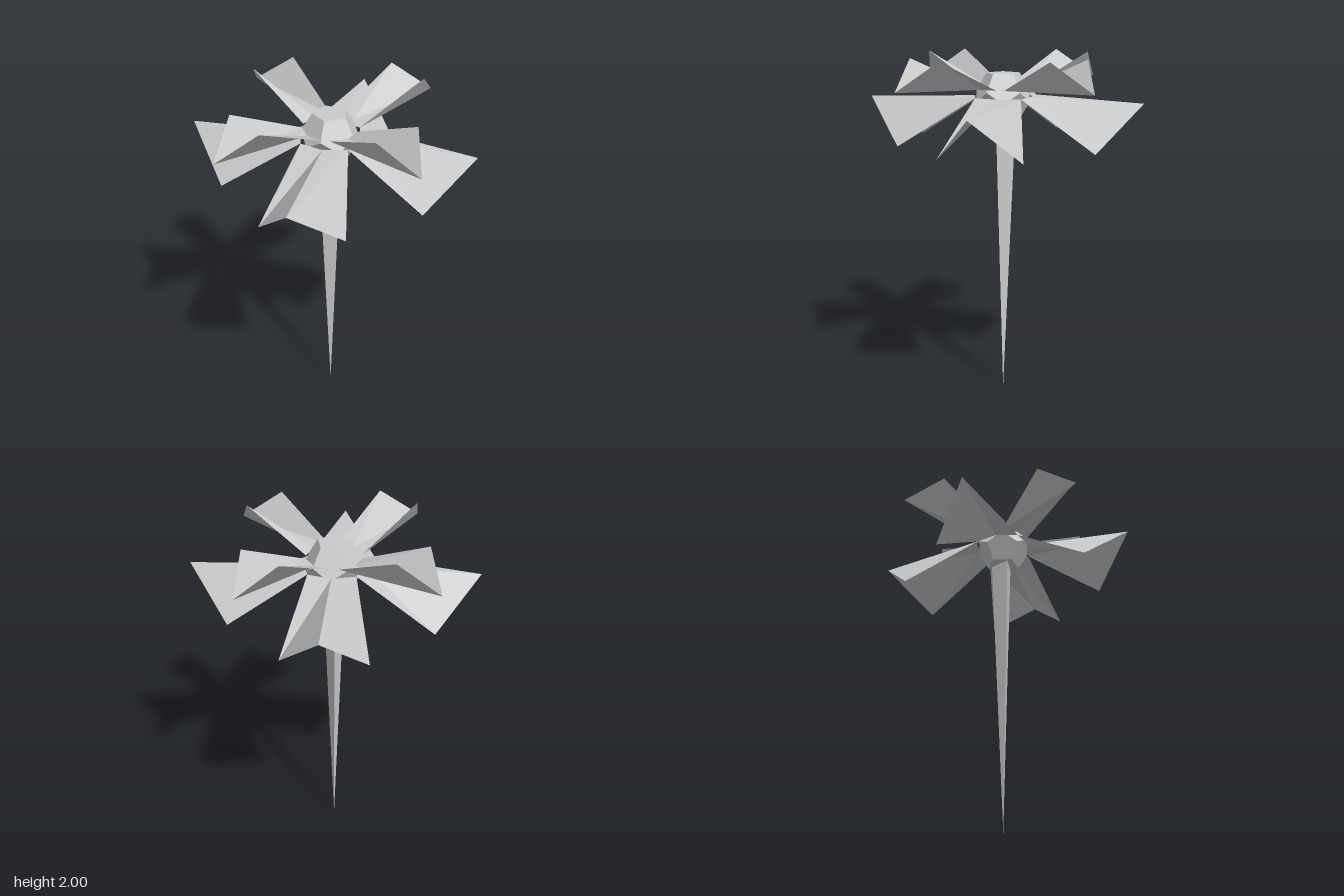
import * as THREE from 'three';

const material = new THREE.MeshStandardMaterial({ color: 0xcccccc, flatShading: true, side: THREE.DoubleSide });
const rad = THREE.MathUtils.degToRad;

// Point at a radius, a height and an angle turned from +z towards +x
const polar = ([radius, y, degrees]) => [radius * Math.sin(rad(degrees)), y, radius * Math.cos(rad(degrees))];

// Folded petal: three points on the hub (left, middle, right) joined to
// an outer left corner, a tip on the fold and an outer right corner.
function petalGeometry({ hub, outer, mirrored }) {
  const [p0, p1, p2] = hub.map(polar);
  const [left, tip, right] = outer.map(polar);
  const triangles = mirrored
    ? [left, tip, p0, tip, p1, p0, tip, right, p1, right, p2, p1]
    : [left, p1, p0, left, tip, p1, tip, p2, p1, tip, right, p2];
  const geometry = new THREE.BufferGeometry();
  geometry.setAttribute('position', new THREE.Float32BufferAttribute(triangles.flat(), 3));
  geometry.computeVertexNormals();
  return geometry;
}

// Four copies of a petal around the stem
function petalRing(name, spec, axis) {
  const ring = new THREE.Group();
  ring.name = name + 's';
  const geometry = petalGeometry(spec);
  for (let i = 0; i < 4; i++) {
    const petal = new THREE.Mesh(geometry, material);
    petal.name = name;
    petal.rotation.y = rad(axis + 90 * i);
    ring.add(petal);
  }
  return ring;
}

export function createModel() {
  const group = new THREE.Group();
  group.name = 'flower';

  // Three-sided stem tapering to a point on the ground
  const stemGeometry = new THREE.CylinderGeometry(0.073, 0, 1.72, 3);
  stemGeometry.rotateY(Math.PI / 2);
  const stem = new THREE.Mesh(stemGeometry, material);
  stem.name = 'stem';
  stem.position.y = 0.86;
  group.add(stem);

  // Faceted flower centre with a flat face upwards
  const centreGeometry = new THREE.DodecahedronGeometry(0.157);
  centreGeometry.rotateX(-Math.atan(0.618));
  centreGeometry.rotateY(Math.PI / 2);
  const centre = new THREE.Mesh(centreGeometry, material);
  centre.name = 'centre';
  centre.position.y = 1.777;
  group.add(centre);

  // Wide drooping petals, folded like a roof
  group.add(petalRing('lowerPetal', {
    hub: [[0.18, 1.775, -45], [0.163, 1.775, 0], [0.18, 1.775, 45]],
    outer: [[0.592, 1.51, -22.5], [0.774, 1.755, 0], [0.592, 1.51, 22.5]],
    mirrored: false,
  }, 22.5));

  // Narrow raised petals, folded like a trough
  group.add(petalRing('upperPetal', {
    hub: [[0.15, 1.82, -38], [0.15, 1.82, 0], [0.15, 1.82, 36]],
    outer: [[0.537, 2, -14.2], [0.705, 1.845, 0], [0.537, 2, 14.2]],
    mirrored: true,
  }, -15.2));

  return group;
}
